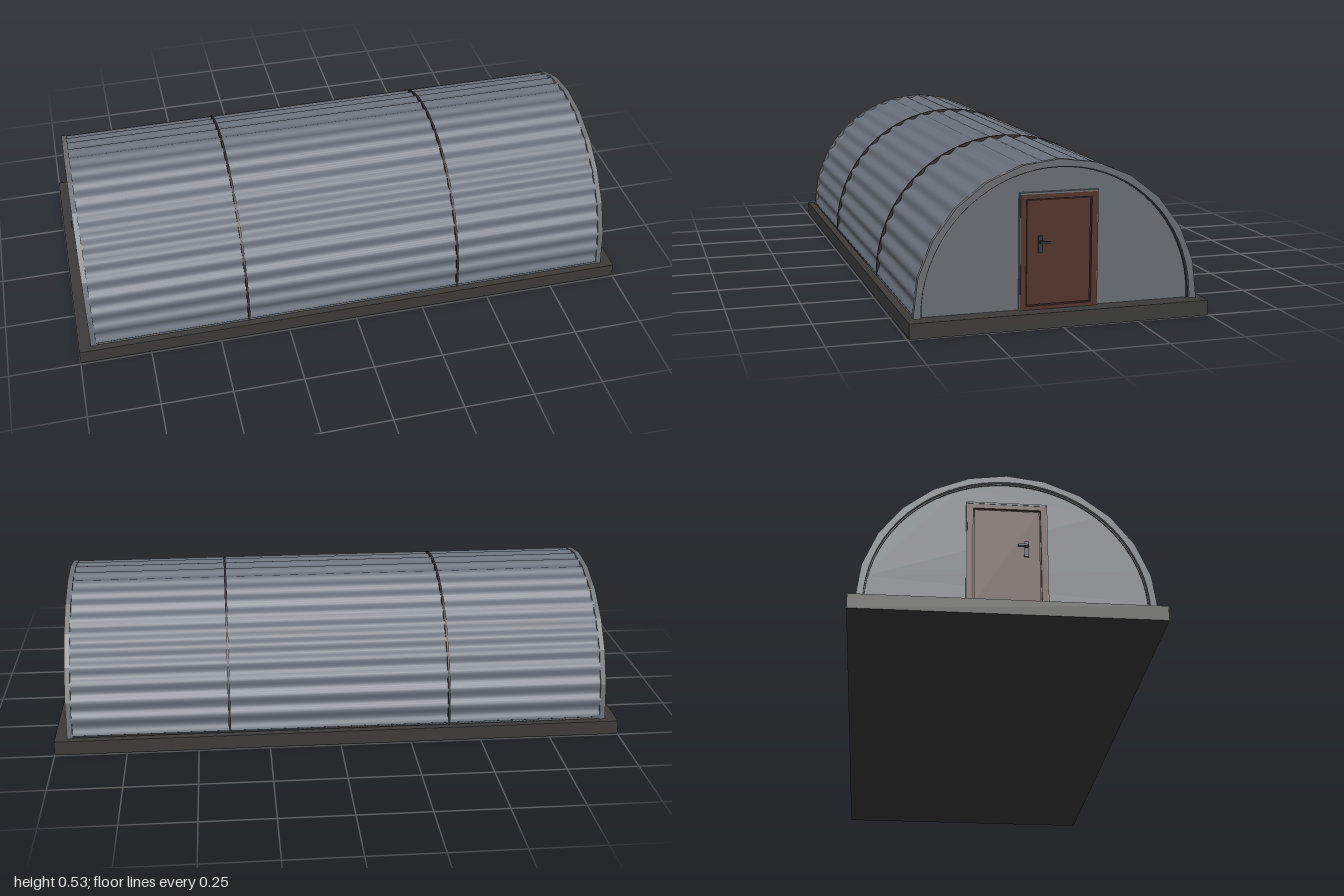
import * as THREE from 'three';

const mat = (name, color, side = THREE.FrontSide) => {
  const m = new THREE.MeshStandardMaterial({ color, side });
  m.name = name;
  return m;
};

const CY = 0.056; // height of the arch centre
const R = 0.471; // outer arch radius
const FLOOR = 0.05;

// Points of an arch in the z-y plane, stored as (shape x = -z, shape y = y)
function archPoints(r, n, wave = () => 0) {
  const pts = [];
  for (let i = 0; i <= n; i++) {
    const a = (i / n) * Math.PI;
    const q = r + wave(a);
    pts.push(new THREE.Vector2(Math.cos(a) * q, CY + Math.sin(a) * q));
  }
  const first = pts[0], last = pts[n];
  return [new THREE.Vector2(first.x, FLOOR), ...pts, new THREE.Vector2(last.x, FLOOR)];
}

// Extrude a shape along x from x0 to x1
function alongX(shape, x0, x1) {
  const g = new THREE.ExtrudeGeometry(shape, { depth: x1 - x0, bevelEnabled: false });
  g.rotateY(Math.PI / 2);
  g.translate(x0, 0, 0);
  return g;
}

function arch(rOut, nOut, rIn, nIn) {
  return new THREE.Shape([...archPoints(rOut, nOut), ...archPoints(rIn, nIn).reverse()]);
}

export function createModel() {
  const group = new THREE.Group();
  const steel = mat('corrugated steel', 0x69717b, THREE.DoubleSide);
  const wallGrey = mat('end wall grey', 0x696e74);
  const dark = mat('dark seam', 0x2b2e32);
  const concrete = mat('dark concrete', 0x3c3b3a);
  const brown = mat('door brown', 0x52352c);
  const brownDark = mat('door frame brown', 0x492e26);
  const metal = mat('handle metal', 0x33383c);

  const add = (name, geo, material, parent = group) => {
    const m = new THREE.Mesh(geo, material);
    m.name = name;
    parent.add(m);
    return m;
  };
  const box = (name, size, pos, material, parent) =>
    add(name, new THREE.BoxGeometry(...size), material, parent).position.set(...pos);

  // Foundation slab
  box('foundation', [2, FLOOR, 0.988], [0, FLOOR / 2, 0], concrete);

  // Corrugated roof shell: a wavy arch swept straight along x
  const profile = archPoints(0.463, 192, (a) => 0.005 * Math.cos(a * 48));
  const pos = [], idx = [];
  profile.forEach((p, i) => {
    pos.push(-0.945, p.y, -p.x, 0.945, p.y, -p.x);
    if (i) {
      const k = 2 * i;
      idx.push(k - 2, k - 1, k, k - 1, k + 1, k);
    }
  });
  const shell = new THREE.BufferGeometry();
  shell.setAttribute('position', new THREE.Float32BufferAttribute(pos, 3));
  shell.setIndex(idx);
  shell.computeVertexNormals();
  add('roofShell', shell, steel);

  // Dark joints between the roof sections
  for (const x of [-0.39, 0.39])
    add('roofSeam', alongX(arch(0.4695, 48, 0.455, 48), x - 0.004, x + 0.004), dark);

  // Dark sealing strips where the shell meets the slab
  for (const s of [-1, 1])
    box('baseStrip', [1.88, 0.008, 0.012], [0, FLOOR + 0.004, s * 0.462], dark);

  // Both ends: wall, rim, door
  for (const s of [-1, 1]) {
    const end = new THREE.Group();
    end.name = s > 0 ? 'leftEnd' : 'rightEnd';
    group.add(end);
    const span = (shape, a, b) => alongX(shape, Math.min(s * a, s * b), Math.max(s * a, s * b));

    add('endWall', span(new THREE.Shape(archPoints(0.455, 48)), 0.925, 0.942), wallGrey, end);
    add('endRim', span(arch(R, 12, 0.447, 36), 0.938, 0.957), wallGrey, end);
    add('rimSeam', span(arch(0.449, 36, 0.443, 36), 0.94, 0.946), dark, end);

    // Door surround, leaf and raised panel
    const frame = new THREE.Shape();
    frame.moveTo(-0.127, FLOOR).lineTo(0.127, FLOOR).lineTo(0.127, 0.421).lineTo(-0.127, 0.421);
    const hole = new THREE.Path();
    hole.moveTo(-0.108, 0.062).lineTo(-0.108, 0.403).lineTo(0.108, 0.403).lineTo(0.108, 0.062);
    frame.holes.push(hole);
    add('doorFrame', span(frame, 0.938, 0.954), brown, end);
    box('doorGap', [0.008, 0.341, 0.216], [s * 0.941, 0.2325, 0], brownDark, end);
    box('doorLeaf', [0.012, 0.334, 0.209], [s * 0.943, 0.2325, 0], brown, end);
    box('doorLintel', [0.015, 0.006, 0.258], [s * 0.948, 0.422, 0], wallGrey, end);
    for (const z of [-0.128, 0.128])
      box('doorTrim', [0.012, 0.37, 0.004], [s * 0.946, 0.235, z], wallGrey, end);

    // Handle with back plate and lever
    box('handlePlate', [0.006, 0.054, 0.015], [s * 0.951, 0.259, 0.061], metal, end);
    box('handleStem', [0.014, 0.008, 0.008], [s * 0.957, 0.267, 0.061], metal, end);
    box('handleLever', [0.006, 0.007, 0.032], [s * 0.964, 0.267, 0.05], metal, end);
  }
  return group;
}
